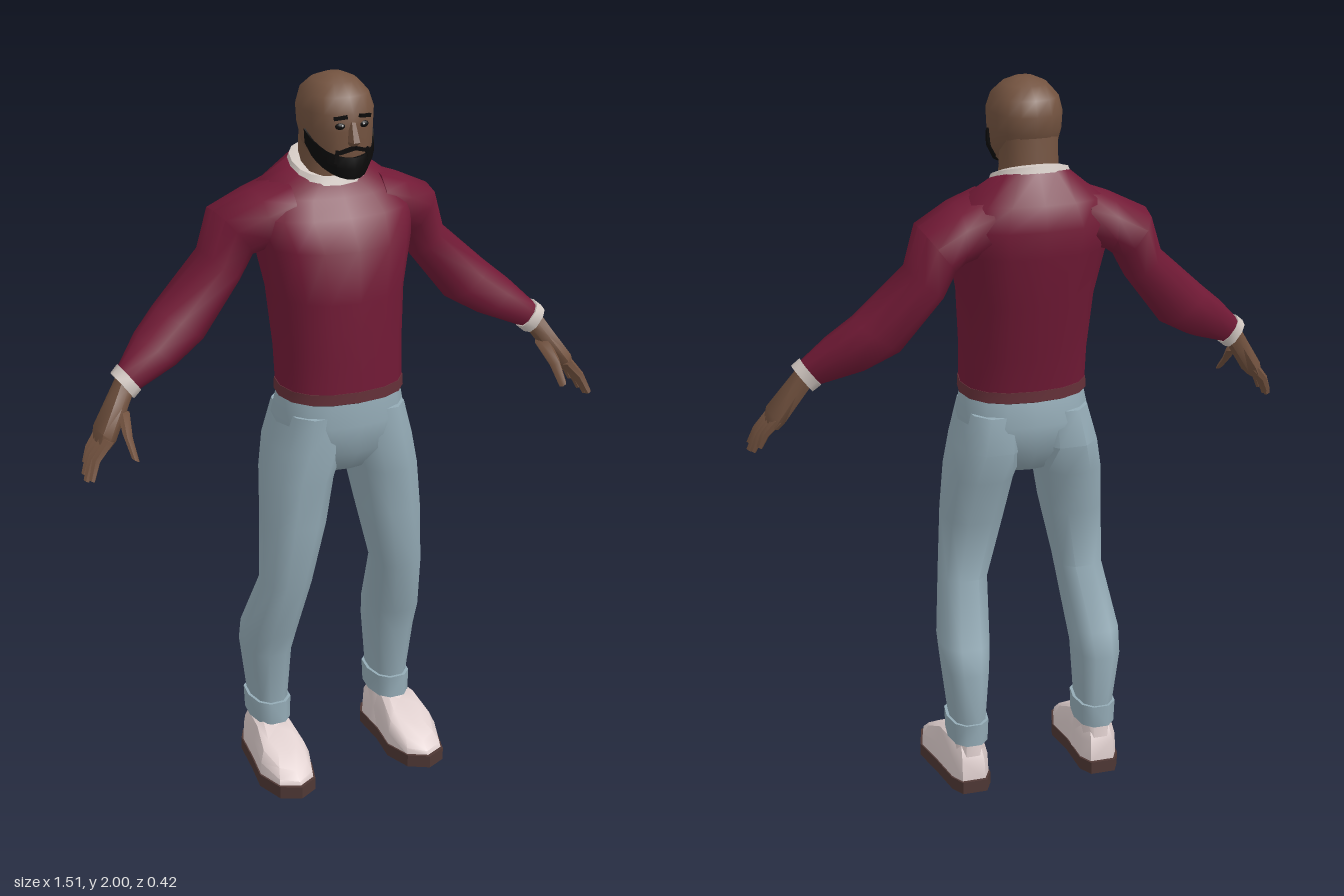
import * as THREE from 'three';
import { toCreasedNormals } from 'three/addons/utils/BufferGeometryUtils.js';

const mat = (color) => new THREE.MeshStandardMaterial({ color });
const M = {
  sweater: mat(0x721a36), hem: mat(0x643038), trim: mat(0xd2c8c2), jeans: mat(0x94abb6),
  skin: mat(0x72523f), shoe: mat(0xdccccb), sole: mat(0x4f3835), black: mat(0x0b0a0a), white: mat(0xdddddd),
};

// Oval section between two points (ax,ay) and (bx,by), from depth zb to zf; tilt lowers its front
function oval([ax, ay, bx, by, zf, zb, tilt = 0], n = 12, e = 0.85) {
  const pts = [];
  const sp = (v) => Math.sign(v) * Math.abs(v) ** e;
  for (let i = 0; i < n; i++) {
    const a = (i / n) * Math.PI * 2, c = sp(Math.cos(a)), s = sp(Math.sin(a));
    pts.push([
      (ax + bx) / 2 + ((bx - ax) / 2) * c,
      (ay + by) / 2 + ((by - ay) / 2) * c - tilt * s,
      (zf + zb) / 2 + ((zf - zb) / 2) * s,
    ]);
  }
  return pts;
}

// Skin over sections with capped ends, always turned outwards
function loft(rings, crease = 0.9) {
  const n = rings[0].length, last = rings.length - 1, pos = rings.flat(2), tri = [];
  const mean = (r) => [0, 1, 2].map((k) => r.reduce((s, p) => s + p[k], 0) / n);
  const c0 = pos.length / 3;
  pos.push(...mean(rings[0]), ...mean(rings[last]));
  for (let i = 0; i < n; i++) {
    const j = (i + 1) % n;
    for (let r = 0; r < last; r++) {
      const a = r * n + i, b = r * n + j;
      tri.push([a, b, a + n], [b, b + n, a + n]);
    }
    tri.push([c0, j, i], [c0 + 1, last * n + i, last * n + j]);
  }
  const v = (i) => new THREE.Vector3().fromArray(pos, i * 3);
  const volume = tri.reduce((s, [a, b, c]) => s + v(a).cross(v(b)).dot(v(c)), 0);
  const g = new THREE.BufferGeometry();
  g.setAttribute('position', new THREE.Float32BufferAttribute(pos, 3));
  g.setIndex(tri.flatMap(([a, b, c]) => (volume < 0 ? [a, c, b] : [a, b, c])));
  return toCreasedNormals(g, crease);
}

export function createModel() {
  const root = new THREE.Group();
  root.name = 'standingMan';
  const add = (name, geo, material) => {
    const m = new THREE.Mesh(geo, material);
    m.name = name;
    root.add(m);
    return m;
  };
  // Stack of level sections: [y, half width, front z, back z, tilt]
  const stack = (name, rows, material, n = 16, e = 0.85) =>
    add(name, loft(rows.map(([y, h, f, b, t]) => oval([-h, y, h, y, f, b, t], n, e))), material);
  // Limb on one side, mirrored by s
  const limb = (name, rows, material, s, n = 10, e = 0.8) =>
    add(name, loft(rows.map(([ax, ay, bx, by, ...z]) => oval([ax * s, ay, bx * s, by, ...z], n, e))), material);

  // Sweater body, hem and collar
  stack('sweaterBody', [
    [1.16, 0.172, 0.158, -0.118], [1.26, 0.172, 0.16, -0.138], [1.42, 0.182, 0.16, -0.175],
    [1.56, 0.212, 0.152, -0.2], [1.635, 0.232, 0.1, -0.208], [1.69, 0.195, 0.06, -0.19, 0.01],
    [1.75, 0.108, 0.03, -0.135, 0.03],
  ], M.sweater);
  stack('sweaterHem', [[1.135, 0.165, 0.15, -0.112], [1.14, 0.176, 0.16, -0.122], [1.17, 0.174, 0.16, -0.122]], M.hem);
  stack('collar', [[1.735, 0.112, 0.04, -0.142, 0.03], [1.762, 0.101, 0.03, -0.134, 0.03], [1.764, 0.086, 0.02, -0.12, 0.03]], M.trim);

  // Hips
  stack('jeansHips', [
    [1.16, 0.165, 0.148, -0.11], [1.07, 0.183, 0.156, -0.13], [0.99, 0.17, 0.145, -0.115], [0.922, 0.08, 0.09, -0.06],
  ], M.jeans);

  // Neck and head
  stack('neck', [[1.7, 0.09, 0.03, -0.13], [1.77, 0.077, 0.03, -0.122], [1.86, 0.078, 0.04, -0.112]], M.skin, 12);
  stack('head', [
    [1.755, 0.04, 0.1, 0.02], [1.785, 0.07, 0.108, -0.05], [1.82, 0.086, 0.112, -0.095], [1.87, 0.093, 0.109, -0.117],
    [1.915, 0.095, 0.112, -0.122], [1.955, 0.085, 0.088, -0.107], [1.985, 0.058, 0.05, -0.07], [2.0, 0.024, 0.015, -0.03],
  ], M.skin);

  // Beard wraps the jaw from ear to ear
  const beard = [];
  for (let i = 0; i <= 12; i++) {
    const t = ((i / 12) * 2 - 1) * 1.5, w = Math.cos(t), x = Math.sin(t);
    const top = 1.802 + 0.068 * (1 - w), low = 1.745 + 0.05 * (1 - w);
    beard.push([
      [0.096 * x, top, 0.005 + 0.113 * w], [0.094 * x, (top + low) / 2, 0.005 + 0.117 * w],
      [0.075 * x, low, 0.005 + 0.112 * w], [0.045 * x, low, 0.04 * w], [0.06 * x, top, 0.06 * w],
    ]);
  }
  add('beard', loft(beard, 0.6), M.black);

  // Nose and moustache
  add('nose', loft([
    oval([-0.009, 1.895, 0.009, 1.895, 0.114, 0.09], 6), oval([-0.016, 1.845, 0.016, 1.845, 0.136, 0.09], 6),
    oval([-0.012, 1.834, 0.012, 1.834, 0.122, 0.09], 6),
  ], 0.5), M.skin);
  for (const s of [1, -1]) {
    const side = s > 0 ? 'left' : 'right';
    const box = (name, w, h, x, y, z, tilt, m) => {
      const b = add(side + name, new THREE.BoxGeometry(w, h, 0.012), m);
      b.position.set(s * x, y, z);
      b.rotation.set(0, s * 0.35, s * tilt);
    };
    box('Moustache', 0.042, 0.01, 0.019, 1.823, 0.112, -0.3, M.black);
    box('MoustacheCorner', 0.01, 0.035, 0.043, 1.806, 0.102, 0.15, M.black);
    box('Eyebrow', 0.036, 0.009, 0.034, 1.909, 0.106, -0.12, M.black);
    const eye = add(side + 'Eye', new THREE.SphereGeometry(0.013, 10, 8), M.black);
    eye.position.set(s * 0.033, 1.886, 0.101);
    eye.scale.set(1.1, 0.75, 0.7);
    const glint = add(side + 'EyeGlint', new THREE.SphereGeometry(0.003, 6, 4), M.white);
    glint.position.set(s * 0.03, 1.888, 0.11);

    // Sleeve: lower point, upper point, front z, back z
    limb(side + 'Sleeve', [
      [0.13, 1.56, 0.13, 1.725, 0.05, -0.18], [0.2, 1.54, 0.21, 1.695, 0.045, -0.182],
      [0.222, 1.525, 0.312, 1.645, 0.015, -0.187], [0.255, 1.46, 0.345, 1.535, 0.0, -0.178],
      [0.365, 1.315, 0.485, 1.405, 0.01, -0.148], [0.455, 1.262, 0.55, 1.348, 0.028, -0.112],
      [0.568, 1.218, 0.615, 1.28, 0.032, -0.046],
    ], M.sweater, s);
    limb(side + 'SleeveCuff', [
      [0.563, 1.217, 0.615, 1.287, 0.037, -0.05], [0.585, 1.198, 0.637, 1.268, 0.04, -0.042],
    ], M.trim, s);

    // Hand with four fingers and a thumb
    limb(side + 'Palm', [
      [0.583, 1.218, 0.622, 1.262, 0.03, -0.032], [0.612, 1.175, 0.655, 1.21, 0.055, -0.025],
      [0.655, 1.11, 0.7, 1.14, 0.088, -0.014], [0.675, 1.09, 0.705, 1.11, 0.085, -0.006],
    ], M.skin, s, 8);
    const finger = (name, pts, r) => limb(side + name, pts.map(([x, y, z], i) => {
      const q = r * (1 - 0.22 * i);
      return [x - q * 0.85, y - q * 0.5, x + q * 0.85, y + q * 0.5, z + q, z - q];
    }), M.skin, s, 6, 1);
    [0.004, 0.028, 0.053, 0.077].forEach((z, i) => {
      const k = [0.72, 0.93, 1, 0.9][i];
      finger('Finger' + (i + 1), [
        [0.68, 1.12, z], [0.685 + 0.038 * k, 1.115 - 0.045 * k, z + 0.008],
        [0.685 + 0.06 * k, 1.115 - 0.098 * k, z * 1.15 + 0.014],
      ], 0.016);
    });
    finger('Thumb', [[0.622, 1.18, 0.03], [0.633, 1.13, 0.09], [0.632, 1.082, 0.142]], 0.021);

    // Trouser leg and rolled cuff
    limb(side + 'TrouserLeg', [
      [0.01, 1.1, 0.172, 1.1, 0.145, -0.118], [0.006, 1.0, 0.2, 1.0, 0.148, -0.132],
      [0.036, 0.91, 0.217, 0.91, 0.14, -0.108], [0.058, 0.78, 0.228, 0.78, 0.13, -0.07],
      [0.1, 0.6, 0.236, 0.6, 0.11, -0.042], [0.118, 0.43, 0.26, 0.43, 0.055, -0.132],
      [0.128, 0.36, 0.256, 0.36, 0.034, -0.154], [0.14, 0.18, 0.234, 0.18, 0.014, -0.136],
    ], M.jeans, s);
    limb(side + 'TrouserCuff', [
      [0.133, 0.14, 0.242, 0.14, 0.026, -0.144], [0.13, 0.205, 0.245, 0.205, 0.026, -0.146],
    ], M.jeans, s);

    // Shoe: plan outline of [x, z], drawn in as it rises
    const plan = [[0.2, 0.212], [0.255, 0.185], [0.28, 0.1], [0.262, 0.0], [0.246, -0.115], [0.225, -0.155],
      [0.155, -0.155], [0.134, -0.115], [0.133, 0.0], [0.12, 0.1], [0.145, 0.18]];
    const layer = (y, k) => plan.map(([x, z]) => [s * (0.195 + (x - 0.195) * k), y, 0.025 + (z - 0.025) * k]);
    add(side + 'Sole', loft([layer(0, 1), layer(0.036, 1)], 0.7), M.sole);
    // Upper falls from the ankle to a low toe
    const upper = (f, k) => layer(0, k).map(([x, , z]) => {
      const top = z > 0.01 ? 0.145 - 0.47 * (z - 0.01) : 0.15;
      return [x, 0.034 + (top - 0.034) * f, z];
    });
    add(side + 'Shoe', loft([upper(0, 0.95), upper(0.5, 0.92), upper(0.88, 0.77), upper(1, 0.5)], 0.7), M.shoe);
    limb(side + 'ShoeAnkle', [
      [0.132, 0.04, 0.25, 0.04, 0.06, -0.145], [0.138, 0.1, 0.24, 0.1, 0.055, -0.138], [0.145, 0.155, 0.232, 0.155, 0.0, -0.13],
    ], M.shoe, s);
  }
  return root;
}
